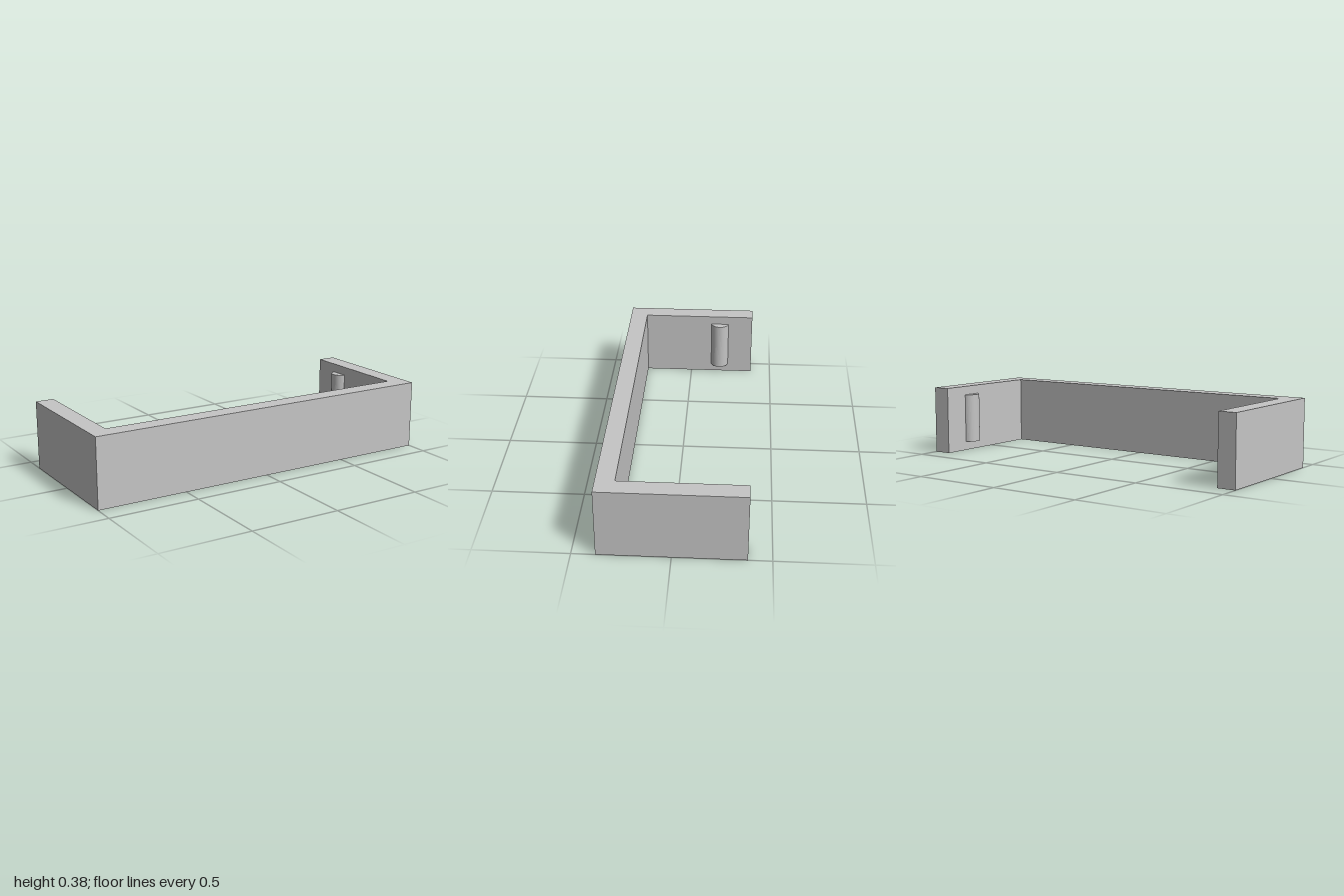
import * as THREE from 'three';

export function createModel() {
  const group = new THREE.Group();
  const grey = new THREE.MeshStandardMaterial({ color: 0xc5c5c5 });
  grey.name = 'light grey';

  // Extrude a plan outline (x, -z) upward from y0
  const extrudeUp = (name, shape, y0, height) => {
    const geometry = new THREE.ExtrudeGeometry(shape, { depth: height, bevelEnabled: false, curveSegments: 24 });
    geometry.rotateX(-Math.PI / 2);
    const mesh = new THREE.Mesh(geometry, grey);
    mesh.name = name;
    mesh.position.y = y0;
    group.add(mesh);
  };

  // U-shaped bracket, open at the back
  const outline = [
    [-1, -0.378], [1, -0.378], [1, 0.378], [0.9, 0.378],
    [0.9, -0.278], [-0.9, -0.278], [-0.9, 0.378], [-1, 0.378],
  ];
  const bracket = new THREE.Shape(outline.map(([x, y]) => new THREE.Vector2(x, y)));
  extrudeUp('bracket', bracket, 0, 0.38);

  // Rounded ribs on the inner faces of both arms, rooted inside the arms
  for (const [side, name] of [[1, 'leftRib'], [-1, 'rightRib']]) {
    const rib = new THREE.Shape();
    rib.absarc(side * 0.91, 0.178, 0.054, 0, Math.PI * 2, false);
    extrudeUp(name, rib, 0.05, 0.28);
  }

  return group;
}
